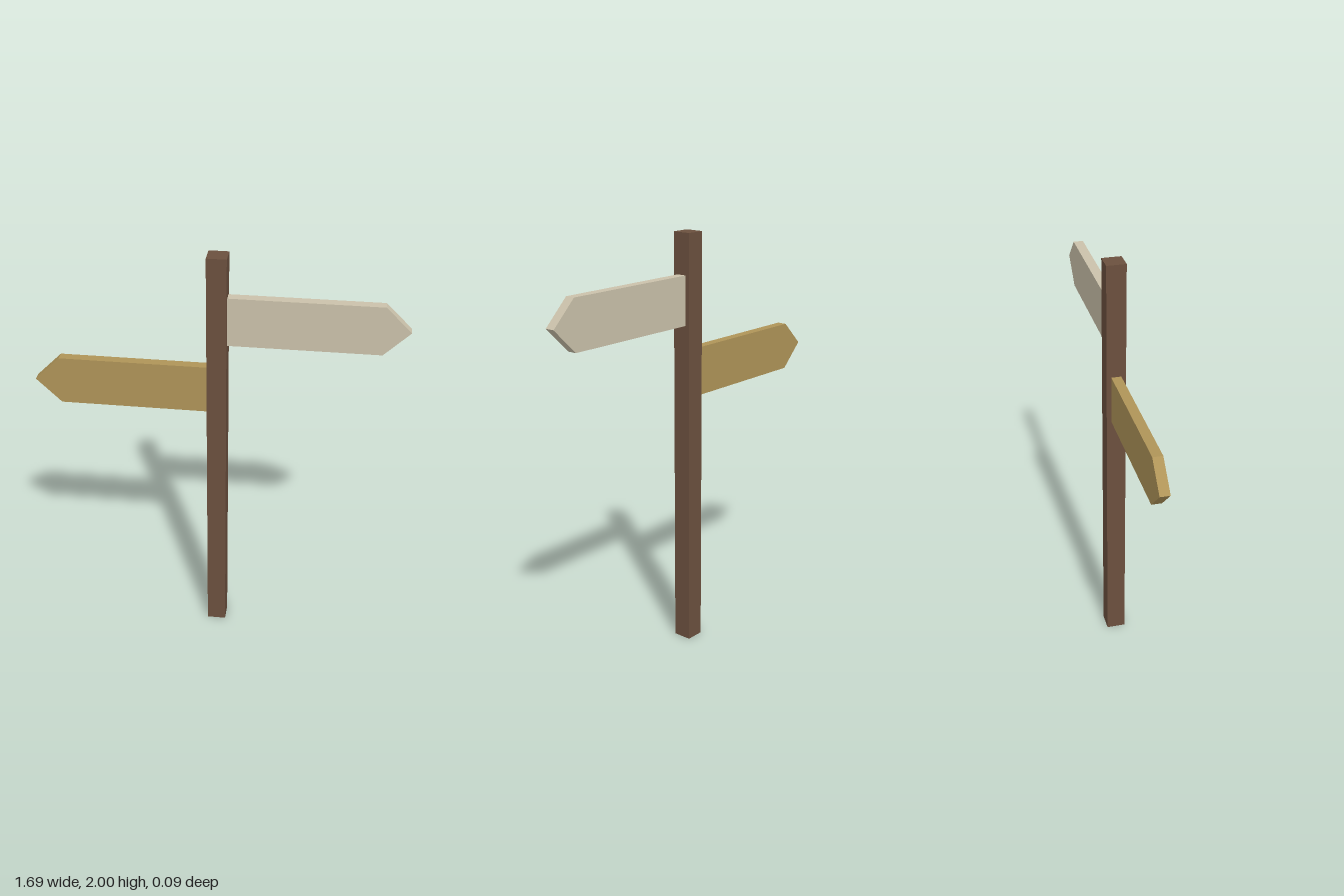
import * as THREE from 'three';

const POST = 0.09, BOARD_H = 0.23, BOARD_T = 0.046;

function material(name, color) {
  const m = new THREE.MeshStandardMaterial({ color });
  m.name = name;
  return m;
}

// Arrow-ended board running from the post along +x
function arrowBoard(name, mat, y) {
  const h = BOARD_H / 2, x0 = POST / 2;
  const outline = new THREE.Shape([
    new THREE.Vector2(x0, -h),
    new THREE.Vector2(0.73, -h),
    new THREE.Vector2(0.847, 0),
    new THREE.Vector2(0.73, h),
    new THREE.Vector2(x0, h),
  ]);
  const geometry = new THREE.ExtrudeGeometry(outline, { depth: BOARD_T, bevelEnabled: false });
  geometry.translate(0, 0, -BOARD_T / 2);
  const board = new THREE.Mesh(geometry, mat);
  board.name = name;
  board.position.y = y;
  return board;
}

export function createModel() {
  const group = new THREE.Group();
  group.name = 'signpost';

  // Square upright post
  const post = new THREE.Mesh(new THREE.BoxGeometry(POST, 2, POST), material('dark brown wood', 0x6b503e));
  post.name = 'post';
  post.position.y = 1;
  group.add(post);

  // Upper board points to +x, lower board is turned round to -x
  const upper = arrowBoard('upperBoard', material('pale wood', 0xcac1aa), 1.695);
  const lower = arrowBoard('lowerBoard', material('golden wood', 0xaf9458), 1.348);
  lower.rotation.y = Math.PI;
  group.add(upper, lower);

  return group;
}
